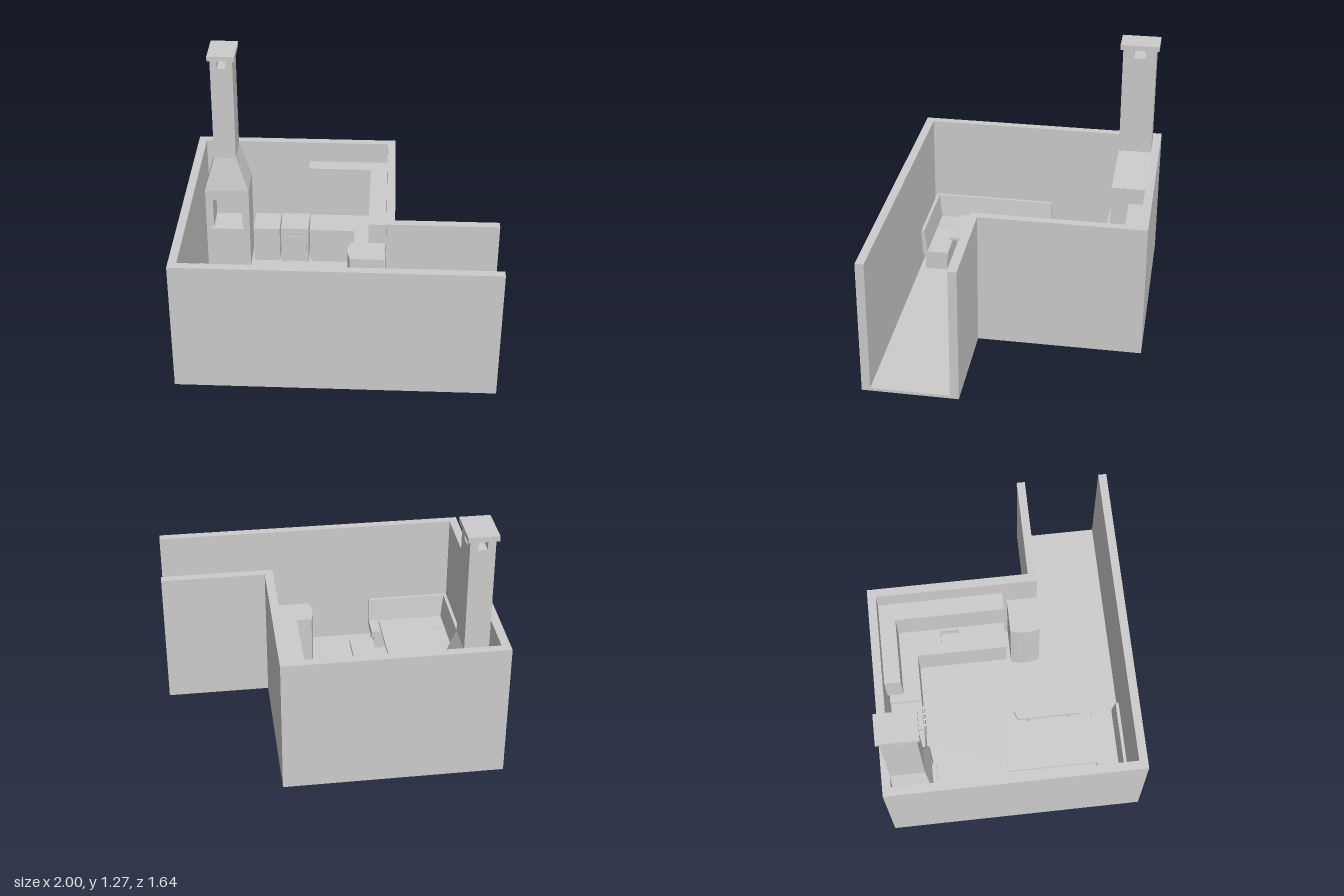
import * as THREE from 'three';

const mat = new THREE.MeshStandardMaterial({ color: 0xcccccc, flatShading: true, side: THREE.DoubleSide });

// Plan coordinates: a runs along the back wall, b runs from the back wall to the front wall.
const rect = (a0, a1, b0, b1) => [[a0, b0], [a1, b0], [a1, b1], [a0, b1]];
const toShape = (pts, holes = []) => {
  const shape = new THREE.Shape(pts.map(([a, b]) => new THREE.Vector2(a, b)));
  shape.holes = holes.map(h => new THREE.Path(h.map(([a, b]) => new THREE.Vector2(a, b))));
  return shape;
};

function add(parent, name, geometry) {
  const mesh = new THREE.Mesh(geometry, mat);
  mesh.name = name;
  parent.add(mesh);
  return mesh;
}

// Plan outline raised from y0 to y1
function prism(parent, name, pts, y0, y1, holes = []) {
  const flip = p => p.map(([a, b]) => [a, -b]);
  const g = new THREE.ExtrudeGeometry(toShape(flip(pts), holes.map(flip)), { depth: y1 - y0, bevelEnabled: false, curveSegments: 8 });
  return add(parent, name, g.rotateX(-Math.PI / 2).translate(0, y0, 0));
}

function box(parent, name, a0, a1, y0, y1, b0, b1) {
  const g = new THREE.BoxGeometry(a1 - a0, y1 - y0, b1 - b0);
  return add(parent, name, g.translate((a0 + a1) / 2, (y0 + y1) / 2, (b0 + b1) / 2));
}

function part(parent, name) {
  const g = new THREE.Group();
  g.name = name;
  parent.add(g);
  return g;
}

const FLOOR = 0.015, WALL = 0.69;
const L = (a0, b0, a1, b1, aIn, bIn) => [[a0, b0], [a1, b0], [a1, b1], [aIn, b1], [aIn, bIn], [a0, bIn]];
const plinthL = L(0.614, 0.042, 1.02, 0.67, 0.878, 0.182);
const counterL = L(0.605, 0.042, 1.02, 0.674, 0.85, 0.205);
const plinthS = rect(0.297, 0.437, 0.05, 0.182);
const counterS = rect(0.297, 0.44, 0.042, 0.205);
const inset = (p, ca, cb, s) => p.map(([a, b]) => [ca + (a - ca) * s, cb + (b - cb) * s]);

function buildShell(room) {
  prism(room, 'walls', [[0, 0], [1.062, 0], [1.062, 0.81], [1.573, 0.81], [1.573, 0.852], [1.02, 0.852], [1.02, 0.042],
    [0.042, 0.042], [0.042, 1.233], [1.573, 1.233], [1.573, 1.275], [0, 1.275]], 0, WALL);
  // Floor is left open under the hollow cabinets
  prism(room, 'floor', [[0.001, 0.001], [1.061, 0.001], [1.061, 0.811], [1.573, 0.811], [1.573, 1.274], [0.001, 1.274]],
    0, FLOOR, [inset(plinthL, 0.93, 0.11, 0.995), plinthS]);
}

function buildFireplace(room) {
  const f = part(room, 'fireplace');
  const [a0, a1, b0, b1] = [0.045, 0.28, 0.042, 0.235];
  // Body with firebox opening
  const face = toShape([[a0, FLOOR], [a1, FLOOR], [a1, 0.49], [a0, 0.49]], [[[0.085, 0.26], [0.24, 0.26], [0.24, 0.43], [0.085, 0.43]]]);
  add(f, 'firebox', new THREE.ExtrudeGeometry(face, { depth: 0.145, bevelEnabled: false }).translate(0, 0, 0.09));
  box(f, 'fireboxBack', a0, a1, FLOOR, 0.49, b0, 0.09);
  box(f, 'hearthLedge', 0.07, 0.255, 0.24, 0.26, 0.2, 0.252);
  // Tapered hood
  const [c0, c1, d1] = [0.1, 0.216, 0.21];
  const hood = box(f, 'hood', a0, a1, 0.49, 0.68, b0, b1).geometry;
  const p = hood.attributes.position;
  for (let i = 0; i < p.count; i++) if (p.getY(i) > 0.6) {
    p.setX(i, p.getX(i) < 0.16 ? c0 : c1);
    if (p.getZ(i) > 0.1) p.setZ(i, d1);
  }
  hood.computeVertexNormals();
  // Chimney, with smoke slots between four corner posts under the cap
  box(f, 'chimney', c0, c1, 0.68, 1.2, b0, d1);
  for (const [p0, p1] of [[c0, 0.136], [0.18, c1]])
    for (const [q0, q1] of [[b0, 0.096], [0.156, d1]]) box(f, 'chimneyPost', p0, p1, 1.2, 1.25, q0, q1);
  box(f, 'chimneyCap', 0.087, 0.229, 1.247, 1.273, 0.028, 0.224);
}

function buildKitchen(room) {
  const k = part(room, 'kitchen');
  const sink = rect(0.895, 0.975, 0.335, 0.435);
  // Hollow base cabinets with recessed plinths
  const holeL = L(0.62, 0.047, 1.015, 0.664, 0.885, 0.176);
  const holeS = rect(0.302, 0.432, 0.055, 0.177);
  prism(k, 'cornerPlinth', plinthL, 0, 0.04, [holeL]);
  prism(k, 'cornerCabinet', counterL, 0.04, 0.22, [holeL]);
  prism(k, 'cornerCountertop', counterL, 0.22, 0.235, [sink]);
  prism(k, 'smallPlinth', plinthS, 0, 0.04, [holeS]);
  prism(k, 'smallCabinet', counterS, 0.04, 0.22, [holeS]);
  prism(k, 'smallCountertop', counterS, 0.22, 0.235);
  // Sink basin
  prism(k, 'sinkSides', rect(0.892, 0.978, 0.332, 0.438), 0.19, 0.234, [sink]);
  prism(k, 'sinkBottom', rect(0.892, 0.978, 0.332, 0.438), 0.185, 0.19);
  // Wall cabinets
  prism(k, 'wallCabinets', L(0.6, 0.042, 1.02, 0.674, 0.931, 0.123), 0.385, 0.575);

  const stove = part(k, 'stove');
  box(stove, 'stoveBody', 0.447, 0.598, 0.03, 0.24, 0.045, 0.205);
  box(stove, 'ovenDoor', 0.457, 0.588, 0.06, 0.19, 0.205, 0.21);
  for (const a of [0.46, 0.585]) for (const b of [0.06, 0.185]) box(stove, 'stoveFoot', a - 0.008, a + 0.008, FLOOR, 0.03, b - 0.008, b + 0.008);
  for (let i = 0; i < 4; i++) {
    const knob = new THREE.CylinderGeometry(0.006, 0.006, 0.01, 8).rotateX(Math.PI / 2);
    add(stove, 'stoveKnob', knob.translate(0.475 + i * 0.032, 0.215, 0.21));
  }

  // Refrigerator with a slightly bowed door
  prism(k, 'refrigerator', [[1.015, 0.697], [1.015, 0.848], [0.842, 0.848], [0.832, 0.81], [0.829, 0.772], [0.832, 0.735], [0.842, 0.697]], FLOOR, 0.48);
}

function buildDining(room) {
  const d = part(room, 'diningCorner');
  // Corner bench: three seats, each on a set-back base
  const seats = [[0.06, 0.184, 0.578, 1.075], [0.06, 0.184, 1.079, 1.203], [0.188, 0.475, 1.079, 1.203]];
  for (const [a0, a1, b0, b1] of seats) {
    box(d, 'benchBase', a0, a1 - 0.012, FLOOR, 0.09, b0 + 0.008, b1);
    box(d, 'benchSeat', a0, a1, 0.09, 0.125, b0, b1);
  }
  // Leaning backrests on both walls
  const back = (name, length) => {
    const s = toShape([[0, 0.1], [0.025, 0.1], [0.008, 0.25], [-0.008, 0.25]]);
    return add(d, name, new THREE.ExtrudeGeometry(s, { depth: length, bevelEnabled: false }));
  };
  back('sideBackrest', 0.635).position.set(0.055, 0, 0.578);
  const front = back('frontBackrest', 0.425);
  front.rotation.y = Math.PI / 2;
  front.position.set(0.05, 0, 1.212);
  front.scale.x = 1;
  // Table
  box(d, 'tableTop', 0.186, 0.44, 0.185, 0.2, 0.613, 1.075);
  for (const b of [0.7, 0.99]) box(d, 'tableLeg', 0.24, 0.385, FLOOR, 0.185, b - 0.012, b + 0.012);
  // Free-standing bench with bowed ends
  const bow = (b, out, dir) => [0, 1, 2, 3, 4, 5, 6].map(i => {
    const t = dir > 0 ? i / 6 : 1 - i / 6;
    return [0.48 + 0.124 * t, b + out * Math.sin(Math.PI * t)];
  });
  prism(d, 'stoolTop', [...bow(0.697, -0.02, 1), ...bow(1.025, 0.025, -1)], 0.105, 0.125);
  for (const b of [0.75, 0.97]) box(d, 'stoolLeg', 0.497, 0.587, FLOOR, 0.105, b - 0.01, b + 0.01);
}

export function createModel() {
  const model = new THREE.Group();
  model.name = 'kitchenRoom';
  const room = part(model, 'room');
  buildShell(room);
  buildFireplace(room);
  buildKitchen(room);
  buildDining(room);
  // The whole room is turned 30 degrees about the vertical
  room.rotation.y = Math.PI / 6;
  room.position.set(-1, 0, -0.287);
  return model;
}
